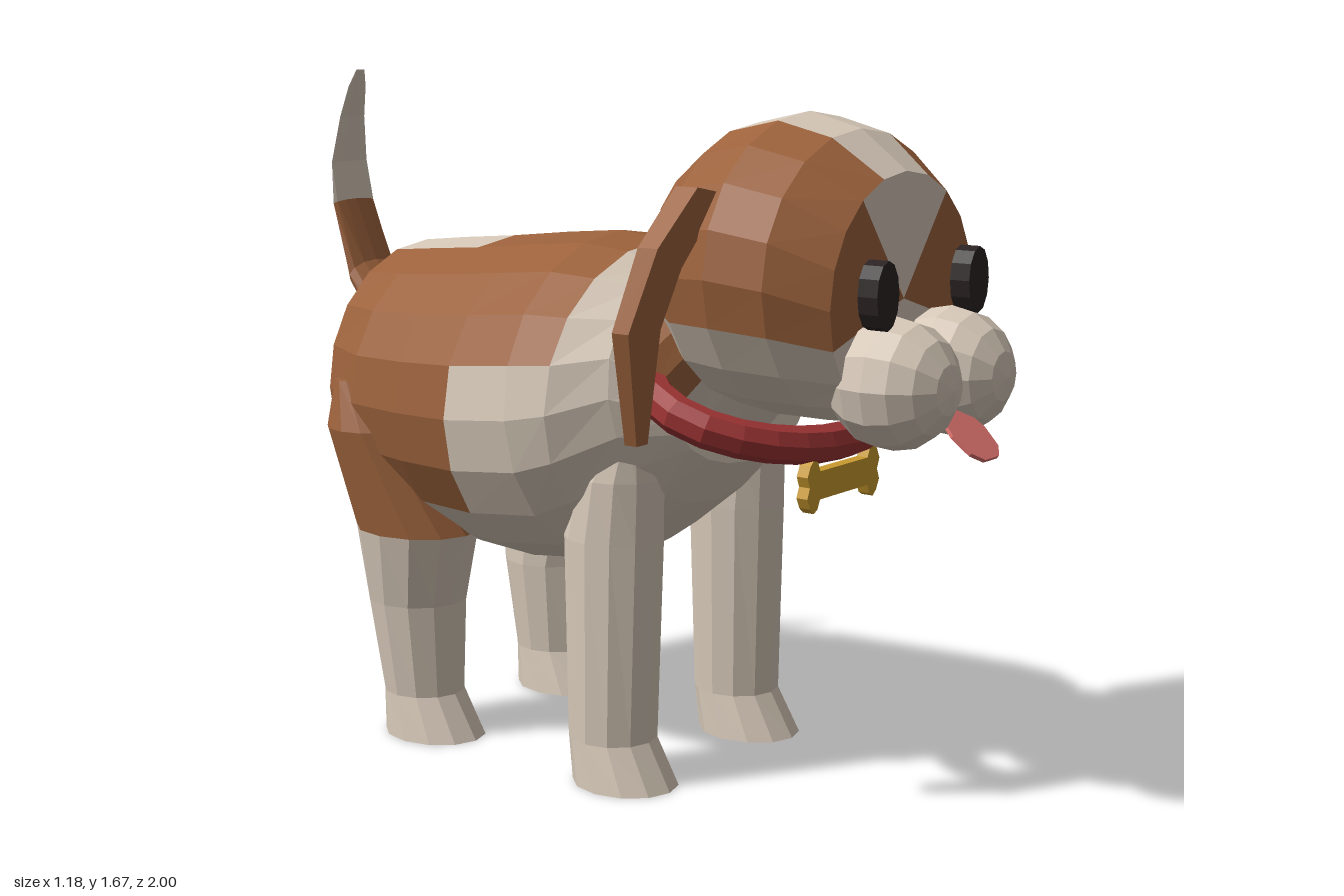
import * as THREE from 'three';

const mat = (name, color) => {
  const m = new THREE.MeshStandardMaterial({ color });
  m.name = name;
  return m;
};

export function createModel() {
  const brown = mat('brown fur', 0x9c623c);
  const cream = mat('cream fur', 0xd6c8b8);
  const red = mat('red collar', 0x9e3434);
  const gold = mat('gold tag', 0xc99a2e);
  const dark = mat('dark eye', 0x2a2222);
  const pink = mat('pink tongue', 0xd9716b);
  const model = new THREE.Group();
  model.name = 'dog';

  const add = (name, geometry, material) => {
    const mesh = new THREE.Mesh(geometry, material);
    mesh.name = name;
    model.add(mesh);
    return mesh;
  };
  const facet = (g) => {
    const flat = g.index ? g.toNonIndexed() : g;
    flat.computeVertexNormals();
    return flat;
  };

  // Faceted loft through elliptical rings [topZ, topY, bottomZ, bottomY, halfWidth, centreX].
  // colour(ring, k) picks a material; k counts facets down from the top on either side,
  // ring is 'start' or 'end' for the caps.
  function loft(name, sections, n, colour) {
    const lists = new Map();
    const put = (m, ...pts) => {
      if (!lists.has(m)) lists.set(m, []);
      pts.forEach((p) => lists.get(m).push(p.x, p.y, p.z));
    };
    const rings = sections.map(([tz, ty, bz, by, w, cx = 0]) => {
      const centre = new THREE.Vector3(cx, (ty + by) / 2, (tz + bz) / 2);
      const pts = [];
      for (let j = 0; j < n; j++) {
        const a = (j / n) * Math.PI * 2, c = Math.cos(a) / 2;
        pts.push(new THREE.Vector3(w * Math.sin(a), (ty - by) * c, (tz - bz) * c).add(centre));
      }
      return { centre, pts };
    });
    const last = rings[rings.length - 1];
    for (let j = 0; j < n; j++) {
      const q = (j + 1) % n, k = Math.min(j, n - 1 - j);
      for (let i = 0; i < rings.length - 1; i++) {
        const A = rings[i].pts, B = rings[i + 1].pts;
        put(colour(i, k), A[j], B[j], B[q], A[j], B[q], A[q]);
      }
      put(colour('start', k), rings[0].centre, rings[0].pts[j], rings[0].pts[q]);
      put(colour('end', k), last.centre, last.pts[q], last.pts[j]);
    }
    const g = new THREE.BufferGeometry(), all = [], mats = [];
    for (const [m, list] of lists) {
      g.addGroup(all.length / 3, list.length / 3, mats.length);
      mats.push(m);
      for (const v of list) all.push(v);
    }
    g.setAttribute('position', new THREE.Float32BufferAttribute(all, 3));
    g.computeVertexNormals();
    return add(name, g, mats);
  }

  // Body, rump to chest, with a cream rump patch, shoulders and belly
  loft('body', [
    [-0.82, 1.16, -0.82, 0.71, 0.22],
    [-0.71, 1.235, -0.7, 0.54, 0.37],
    [-0.57, 1.25, -0.56, 0.49, 0.43],
    [-0.4, 1.265, -0.4, 0.47, 0.45],
    [-0.22, 1.285, -0.22, 0.46, 0.467],
    [-0.05, 1.3, 0, 0.485, 0.47],
    [0.08, 1.285, 0.08, 0.54, 0.45],
    [0.17, 1.25, 0.24, 0.66, 0.37],
    [0.3, 1.06, 0.34, 0.77, 0.27],
  ], 20, (i, k) => {
    if (i === 'start') return brown;
    if (i === 'end' || i >= 6) return cream;
    if (i === 0 && k < 2) return cream;
    if ((i === 1 || i === 2) && k < 1) return cream;
    return k < (i < 4 ? 7 : 4) ? brown : cream;
  });

  // Neck
  loft('neck', [
    [0.12, 1.2, 0.28, 0.75, 0.32],
    [0.17, 1.24, 0.34, 0.84, 0.31],
    [0.27, 1.32, 0.45, 0.98, 0.27],
  ], 20, (i, k) => (k < 7 ? brown : cream));

  // Head with a cream blaze, forehead wedge and jaw
  loft('head', [
    [0.24, 1.49, 0.3, 0.98, 0.29],
    [0.36, 1.575, 0.38, 0.92, 0.38],
    [0.5, 1.605, 0.5, 0.905, 0.41],
    [0.64, 1.57, 0.64, 0.905, 0.385],
    [0.76, 1.48, 0.76, 0.91, 0.3],
  ], 20, (i, k) => {
    if (i === 'start') return brown;
    return k < (i === 'end' ? 2 : 1) || k >= 6 ? cream : brown;
  });

  // Tail, cream tip down to brown base
  loft('tail', [
    [-0.942, 1.675, -0.948, 1.675, 0.015],
    [-0.955, 1.63, -0.963, 1.63, 0.032],
    [-0.975, 1.55, -0.985, 1.55, 0.045],
    [-0.99, 1.43, -1.0, 1.43, 0.065],
    [-0.972, 1.33, -0.992, 1.31, 0.075],
    [-0.9, 1.17, -0.935, 1.1, 0.085],
    [-0.8, 1.07, -0.8, 0.92, 0.093],
  ], 12, (i) => (i === 'start' || i < 4 ? cream : brown));

  // Ear outline, swept slightly back toward the tip
  const earShape = new THREE.Shape([
    [0.33, 1.44], [0.41, 1.455], [0.525, 1.33], [0.59, 1.15], [0.51, 0.89],
    [0.47, 0.89], [0.477, 1.15], [0.43, 1.28], [0.34, 1.4],
  ].map(([x, y]) => new THREE.Vector2(x, y)).reverse());

  for (const side of [1, -1]) {
    const label = side > 0 ? 'left' : 'right';

    loft(label + 'FrontLeg', [
      [0.23, 0.87, 0.15, 0.87, 0.05, side * 0.27],
      [0.25, 0.75, 0.04, 0.75, 0.105, side * 0.25],
      [0.25, 0.6, 0.0, 0.6, 0.11, side * 0.25],
      [0.235, 0.11, 0.015, 0.11, 0.105, side * 0.255],
      [0.3, 0, 0.03, 0, 0.117, side * 0.257],
    ], 12, () => cream);

    loft(label + 'RearLeg', [
      [-0.58, 0.92, -0.66, 0.92, 0.04, side * 0.38],
      [-0.47, 0.8, -0.69, 0.8, 0.09, side * 0.365],
      [-0.32, 0.54, -0.66, 0.54, 0.135, side * 0.285],
      [-0.38, 0.35, -0.645, 0.35, 0.12, side * 0.265],
      [-0.39, 0.11, -0.605, 0.11, 0.1, side * 0.26],
      [-0.32, 0, -0.6, 0, 0.115, side * 0.26],
    ], 12, (i) => (i === 'start' || i < 2 ? brown : cream));

    // Ear: mirror the outline rather than the mesh, so faces stay outward
    const outline = new THREE.Shape(earShape.getPoints().map((p) => new THREE.Vector2(p.x * side, p.y)));
    const ear = new THREE.ExtrudeGeometry(outline, { depth: 0.06, bevelEnabled: false });
    const pos = ear.attributes.position;
    for (let i = 0; i < pos.count; i++) {
      const drop = 1.455 - pos.getY(i);
      pos.setZ(i, 0.428 + pos.getZ(i) * (1 - drop * 0.8) - drop * 0.11);
    }
    add(label + 'Ear', facet(ear), brown);

    // Muzzle half, pole facing forward
    const cheek = new THREE.SphereGeometry(0.15, 12, 8).rotateX(Math.PI / 2).scale(0.97, 1, 1);
    add(label + 'Muzzle', facet(cheek), cream).position.set(side * 0.12, 1.022, 0.815);

    // Eye
    const eye = new THREE.CylinderGeometry(1, 1, 0.05, 12).rotateX(Math.PI / 2).scale(0.045, 0.077, 1);
    add(label + 'Eye', facet(eye), dark).position.set(side * 0.195, 1.225, 0.815);
  }

  // Tongue
  const tongueShape = new THREE.Shape([
    [-0.07, 0.08], [-0.06, 0.025], [-0.03, 0], [0.03, 0], [0.06, 0.025], [0.07, 0.08], [0.05, 0.14], [-0.05, 0.14],
  ].map(([x, y]) => new THREE.Vector2(x, y)));
  const tongue = new THREE.ExtrudeGeometry(tongueShape, { depth: 0.009, bevelEnabled: false });
  tongue.rotateX(-0.85).translate(0, 0.853, 0.99);
  add('tongue', tongue, pink);

  // Tilted oval collar
  const loop = [];
  for (let i = 0; i < 20; i++) {
    const a = (i / 20) * Math.PI * 2, c = 0.23 * Math.cos(a);
    loop.push(new THREE.Vector3(0.345 * Math.sin(a), 0.935 - 0.36 * c, 0.385 + 0.94 * c));
  }
  const collar = new THREE.TubeGeometry(new THREE.CatmullRomCurve3(loop, true), 24, 0.045, 8, true);
  add('collar', facet(collar), red);

  // Bone-shaped tag
  const quarter = [[0.1, 0.033], [0.11, 0.055], [0.125, 0.063], [0.14, 0.05], [0.152, 0.025], [0.142, 0]];
  const flip = (sx, sy) => quarter.map(([x, y]) => new THREE.Vector2(x * sx, y * sy));
  const bonePoints = [
    ...flip(1, -1), ...flip(1, 1).reverse().slice(1),
    ...flip(-1, 1), ...flip(-1, -1).reverse().slice(1),
  ];
  const bone = new THREE.ExtrudeGeometry(new THREE.Shape(bonePoints), { depth: 0.03, bevelEnabled: false });
  add('boneTag', bone, gold).position.set(0, 0.763, 0.58);

  return model;
}
